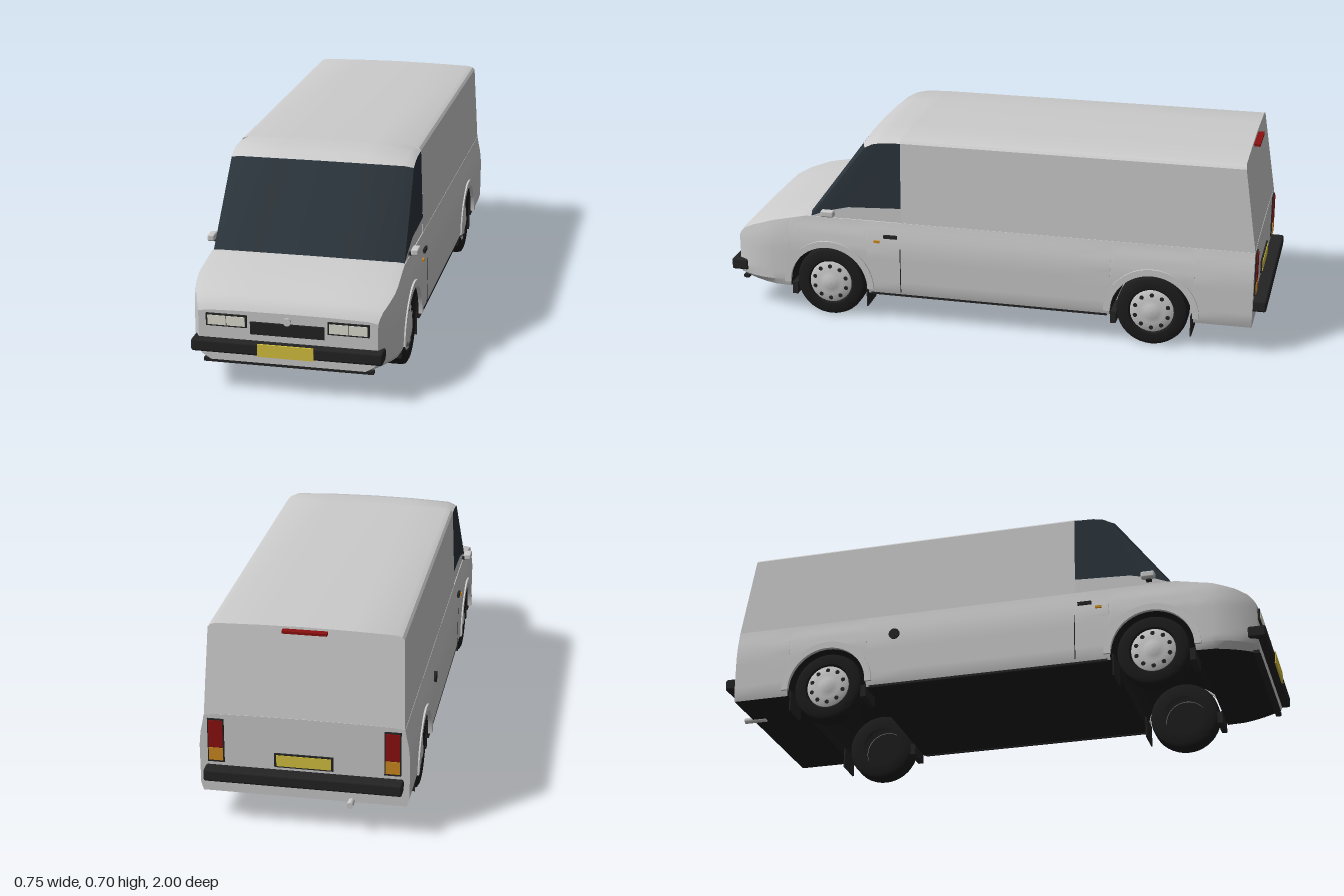
import * as THREE from 'three';
import { toCreasedNormals } from 'three/addons/utils/BufferGeometryUtils.js';
import { RoundedBoxGeometry } from 'three/addons/geometries/RoundedBoxGeometry.js';

const mat = (color, side = THREE.FrontSide) => new THREE.MeshStandardMaterial({ color, side });
const PAINT = mat(0xcccccc, THREE.DoubleSide), GLASS = mat(0x2b343b, THREE.DoubleSide);
const UNDER = mat(0x1c1c1c, THREE.DoubleSide), BLACK = mat(0x242425), GREY = mat(0xcccccc);
const RED = mat(0x8c1010), AMBER = mat(0xd08a20), YELLOW = mat(0xd8c440), LENS = mat(0xe2e0d4);

const WHEELS = [0.605, -0.595], AXLE_Y = 0.13, ARCH_R = 0.15, REAR = -0.953, NOSE = 0.967;

// Piecewise linear lookup through [key, value] pairs in rising order of key
function lookup(pairs, k) {
  if (k <= pairs[0][0]) return pairs[0][1];
  for (let i = 1; i < pairs.length; i++) {
    const [a, va] = pairs[i - 1], [b, vb] = pairs[i];
    if (k <= b) return va + (vb - va) * (k - a) / (b - a);
  }
  return pairs[pairs.length - 1][1];
}

// Surface through rows of points
function grid(rows, crease = 0.45) {
  const n = rows[0].length, index = [];
  for (let i = 0; i < rows.length - 1; i++)
    for (let j = 0; j < n - 1; j++) {
      const a = i * n + j, b = a + n;
      index.push(a, b, a + 1, b, b + 1, a + 1);
    }
  const g = new THREE.BufferGeometry();
  g.setAttribute('position', new THREE.Float32BufferAttribute(rows.flat(2), 3));
  g.setIndex(index);
  return toCreasedNormals(g, crease);
}
// Complete a half section that ends on the centre line
const both = half => [...half, ...half.slice(0, -1).reverse().map(([x, y, z]) => [-x, y, z])];
// Flat end wall across a half section
const wall = half => grid(half.map(([x, y, z]) => [[x, y, z], [0, y, z], [-x, y, z]]));

// Outline rules of the lower body
const WIDTH = [[0.1, 0.344], [0.13, 0.354], [0.28, 0.355], [0.33, 0.349], [0.37, 0.34], [0.4, 0.336]];
const TOP = [[0.69, 0.385], [0.82, 0.358], [0.9, 0.33], [0.94, 0.309], [0.958, 0.29], [NOSE, 0.275]];
function halfWidth(y, z) {
  const s = Math.max(0, z - 0.8) / 0.167;
  return lookup(WIDTH, y) - 0.05 * s * s - Math.max(0, 0.13 - y) * 1.3 * Math.min(s, 1);
}
function bottom(z) {
  for (const c of WHEELS) {
    const d = Math.abs(z - c);
    if (d <= ARCH_R + 1e-6) return AXLE_Y + Math.sqrt(Math.max(0, ARCH_R ** 2 - d * d));
  }
  return 0.105;
}
function lowerSection(z) {
  const yb = bottom(z), yt = lookup(TOP, z), half = [];
  for (let i = 0; i <= 10; i++) {
    const y = yb + (yt - yb) * i / 10;
    half.push([halfWidth(y, z), y, z]);
  }
  const w = halfWidth(yt, z);
  half.push([w - 0.035, yt + 0.006, z], [0.15, yt + 0.009, z], [0, yt + 0.01, z]);
  return half;
}

export function createModel() {
  const van = new THREE.Group();
  van.name = 'van';
  const add = (name, geo, material, x = 0, y = 0, z = 0, parent = van) => {
    const m = new THREE.Mesh(geo, material);
    m.name = name;
    m.position.set(x, y, z);
    parent.add(m);
    return m;
  };
  const box = (name, material, w, h, d, x, y, z) => add(name, new THREE.BoxGeometry(w, h, d), material, x, y, z);

  // Lower body with wheel arches and bonnet
  const stations = [REAR, -0.85, -0.3, -0.1, 0.1, 0.33, 0.82, 0.86, 0.9, 0.925, 0.94, 0.95, 0.958, NOSE];
  for (const c of WHEELS) {
    stations.push(c - ARCH_R - 0.0005, c + ARCH_R + 0.0005);
    for (let i = 0; i <= 20; i++) stations.push(c + ARCH_R * Math.cos(Math.PI * i / 20));
  }
  stations.sort((a, b) => a - b);
  const sections = stations.map(lowerSection);
  add('lowerBody', grid(sections.map(both)), PAINT);
  add('nosePanel', wall(sections[sections.length - 1]), PAINT);
  add('lowerRearPanel', wall(sections[0]), PAINT);
  add('underbody', grid(sections.map(([[x, y, z]]) => [[x, y, z], [-x, y, z]])), UNDER);

  // Cargo box, with a leaning tail
  const boxHalf = [[0.337, 0.385], [0.333, 0.5], [0.329, 0.6], [0.326, 0.685], [0.318, 0.693],
    [0.3, 0.699], [0.15, 0.703], [0, 0.705]];
  const tail = boxHalf.map(([x, y]) => [x, y, REAR + (y - 0.385) * 0.15]);
  add('cargoBody', grid([boxHalf.map(([x, y]) => [x, y, 0.33]), tail].map(both)), PAINT);
  add('tailPanel', wall(tail), PAINT);

  // Roof front, curving down to the windscreen
  add('roofFront', grid([
    [[0.326, 0.685, 0.33], [0.3, 0.699, 0.33], [0.15, 0.703, 0.33], [0, 0.705, 0.33]],
    [[0.326, 0.682, 0.40], [0.3, 0.695, 0.40], [0.15, 0.699, 0.405], [0, 0.701, 0.41]],
    [[0.326, 0.675, 0.435], [0.298, 0.687, 0.44], [0.15, 0.691, 0.447], [0, 0.692, 0.45]],
    [[0.325, 0.66, 0.463], [0.296, 0.668, 0.475], [0.15, 0.671, 0.483], [0, 0.672, 0.485]],
  ].map(both), 0.7), PAINT);

  // Wraparound cab glass: columns from door pillar to centre, bottom and top points
  const sill = [[0.335, 0.44, 0.33], [0.335, 0.43, 0.53], [0.336, 0.41, 0.61], [0.335, 0.385, 0.672],
    [0.295, 0.38, 0.69], [0.15, 0.38, 0.698], [0, 0.38, 0.7]];
  const head = [[0.326, 0.685, 0.33], [0.326, 0.682, 0.4], [0.326, 0.675, 0.435], [0.325, 0.66, 0.463],
    [0.296, 0.668, 0.475], [0.15, 0.671, 0.483], [0, 0.672, 0.485]];
  add('cabGlass', grid([both(sill), both(head)], 0.5), GLASS);
  add('windowSill', grid([both(sill), both(sill.map(([x, y, z]) => [x, 0.37, z]))]), PAINT);

  // Bumpers and number plates
  add('frontBumper', new RoundedBoxGeometry(0.65, 0.043, 0.065, 2, 0.008), BLACK, 0, 0.162, 0.9645);
  box('frontPlate', YELLOW, 0.19, 0.044, 0.006, 0, 0.162, 0.997);
  box('frontValance', BLACK, 0.58, 0.012, 0.02, 0, 0.101, 0.955);
  add('rearBumper', new RoundedBoxGeometry(0.67, 0.043, 0.052, 2, 0.008), BLACK, 0, 0.183, -0.974);
  box('rearPlateFrame', BLACK, 0.2, 0.05, 0.008, 0, 0.24, -0.955);
  box('rearPlate', YELLOW, 0.185, 0.04, 0.008, 0, 0.24, -0.957);

  // Nose details
  box('grille', BLACK, 0.252, 0.043, 0.012, 0, 0.229, 0.968);
  add('noseBoss', new THREE.CylinderGeometry(0.013, 0.013, 0.014, 20).rotateX(Math.PI / 2), GREY, 0, 0.259, 0.969);

  // Tail details
  box('highBrakeLight', RED, 0.15, 0.009, 0.024, 0, 0.692, -0.917);
  add('exhaustPipe', new THREE.CylinderGeometry(0.011, 0.011, 0.085, 14).rotateX(Math.PI / 2), GREY, -0.16, 0.108, -0.945);
  add('fuelCap', new THREE.CylinderGeometry(0.02, 0.02, 0.012, 20).rotateZ(Math.PI / 2), BLACK, -0.354, 0.3, -0.34);

  // Wheel shapes, outer face towards +x
  const tyreProfile = [[0.075, -0.04], [0.115, -0.04], [0.126, -0.034], [0.13, -0.022], [0.13, 0.022],
    [0.126, 0.034], [0.115, 0.04], [0.085, 0.038], [0.078, 0.028], [0, 0.028]].map(p => new THREE.Vector2(...p));
  const tyreGeo = toCreasedNormals(new THREE.LatheGeometry(tyreProfile, 40).rotateZ(-Math.PI / 2), 0.6);
  const capProfile = [[0.08, 0.026], [0.078, 0.036], [0.045, 0.04], [0.025, 0.042], [0.022, 0.046], [0, 0.047]]
    .map(p => new THREE.Vector2(...p));
  const capGeo = new THREE.LatheGeometry(capProfile, 32).rotateZ(-Math.PI / 2);
  const slotGeo = new THREE.CylinderGeometry(0.008, 0.008, 0.006, 10).rotateZ(Math.PI / 2);

  // Raised lip around each arch
  const lip = new THREE.Shape();
  lip.absarc(0, 0, 0.172, 0, Math.PI, false);
  lip.absarc(0, 0, ARCH_R - 0.002, Math.PI, 0, true);
  const lipGeo = new THREE.ExtrudeGeometry(lip, { depth: 0.014, curveSegments: 24, bevelEnabled: false })
    .rotateY(Math.PI / 2);

  for (const s of [1, -1]) {
    const side = s > 0 ? 'left' : 'right';
    WHEELS.forEach((z, k) => {
      const end = k ? 'Rear' : 'Front';
      const wheel = new THREE.Group();
      wheel.name = side + end + 'Wheel';
      wheel.position.set(s * 0.302, AXLE_Y, z);
      if (s < 0) wheel.rotation.y = Math.PI;
      van.add(wheel);
      add('tyre', tyreGeo, UNDER, 0, 0, 0, wheel);
      add('hubcap', capGeo, PAINT, 0, 0, 0, wheel);
      for (let i = 0; i < 10; i++) {
        const a = i * Math.PI / 5;
        add('hubcapSlot', slotGeo, BLACK, 0.036, 0.062 * Math.cos(a), 0.062 * Math.sin(a), wheel);
      }
      add(side + end + 'ArchLip', lipGeo, PAINT, s > 0 ? 0.346 : -0.36, AXLE_Y - 0.005, z);
      // Mud flaps behind and short guards ahead of each wheel
      box(side + end + 'MudFlap', BLACK, 0.105, 0.08, 0.005, s * 0.29, 0.088, z - 0.142);
      box(side + end + 'WheelGuard', BLACK, 0.105, 0.045, 0.02, s * 0.29, 0.095, z + 0.138);
    });

    // Headlights: frame with two lenses
    box(side + 'HeadlightFrame', BLACK, 0.14, 0.043, 0.016, s * 0.207, 0.249, 0.966);
    for (const dx of [-0.0325, 0.0325])
      box(side + 'HeadlightLens', LENS, 0.063, 0.033, 0.006, s * 0.207 + dx, 0.249, 0.973);

    // Tail lamps
    box(side + 'TailLampFrame', BLACK, 0.056, 0.158, 0.012, s * 0.298, 0.296, -0.952);
    box(side + 'BrakeLamp', RED, 0.048, 0.098, 0.012, s * 0.298, 0.321, -0.955);
    box(side + 'TurnLamp', AMBER, 0.048, 0.045, 0.012, s * 0.298, 0.247, -0.955);

    // Door details and mirrors
    box(side + 'DoorHandle', BLACK, 0.012, 0.012, 0.05, s * 0.35, 0.333, 0.367);
    box(side + 'SideIndicator', AMBER, 0.01, 0.009, 0.022, s * 0.352, 0.312, 0.418);
    box(side + 'DoorSeam', BLACK, 0.003, 0.17, 0.003, s * 0.354, 0.205, 0.33);
    box(side + 'SillTrim', BLACK, 0.01, 0.008, 0.88, s * 0.343, 0.106, 0.005);
    add(side + 'Mirror', new RoundedBoxGeometry(0.026, 0.024, 0.05, 2, 0.006), GREY, s * 0.36, 0.409, 0.6);
    box(side + 'MirrorArm', BLACK, 0.026, 0.007, 0.02, s * 0.344, 0.397, 0.6);
  }
  return van;
}
